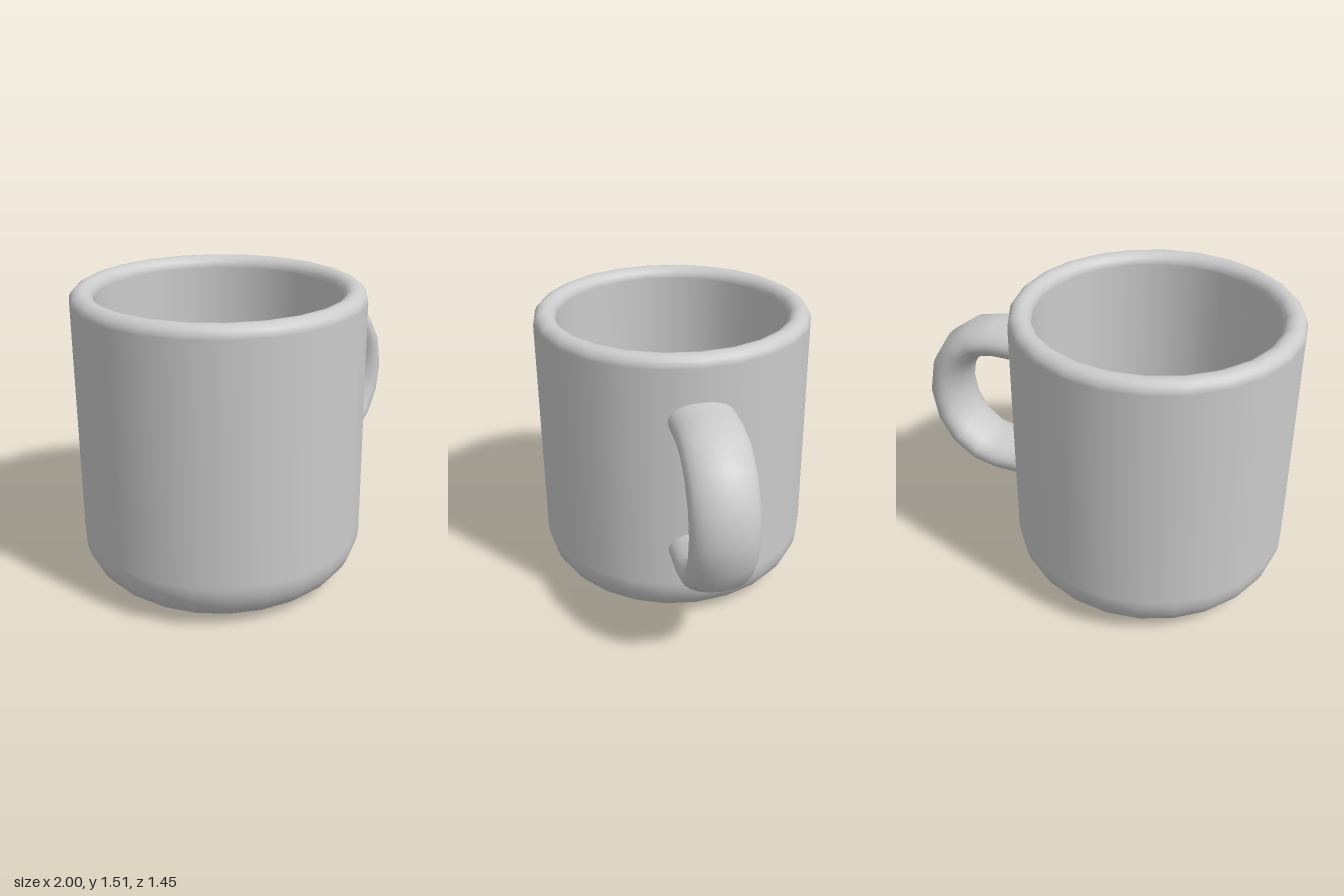
import * as THREE from 'three';

const material = new THREE.MeshStandardMaterial({ color: 0xcccccc });
const CUP_X = -0.277, CUP_R = 0.723, INNER_R = 0.607, TOP = 1.51, FLOOR = 0.12;

// Profile points along a circular fillet, from angle a0 to a1 (degrees)
function arc(cx, cy, r, a0, a1, steps) {
  return Array.from({ length: steps + 1 }, (_, i) => {
    const a = THREE.MathUtils.degToRad(a0 + (a1 - a0) * i / steps);
    return new THREE.Vector2(cx + r * Math.cos(a), cy + r * Math.sin(a));
  });
}

// Cup: outer wall, rounded rim, inner wall and floor in one turned profile
function createCup() {
  const base = 0.25, inner = 0.13, rim = (CUP_R - INNER_R) / 2;
  const profile = [
    new THREE.Vector2(0, 0),
    ...arc(CUP_R - base, base, base, -90, 0, 8),
    ...arc(CUP_R - rim, TOP - rim, rim, 0, 180, 10),
    ...arc(INNER_R - inner, FLOOR + inner, inner, 0, -90, 6),
    new THREE.Vector2(0, FLOOR),
  ];
  const cup = new THREE.Mesh(new THREE.LatheGeometry(profile, 24), material);
  cup.name = 'cup';
  cup.position.x = CUP_X;
  return cup;
}

// Handle: a wide elliptical section swept round a half loop, ends sunk in the wall
function createHandle() {
  const SIDES = 24, ARC = 8, HALF_WIDTH = 0.168;
  const centre = new THREE.Vector2(0.585, 0.825);
  const angles = Array.from({ length: ARC + 1 }, (_, i) => Math.PI / 2 - Math.PI * i / ARC);
  const sections = angles.map((a) => ({ a, x: centre.x }));
  sections.unshift({ a: Math.PI / 2, x: 0.38 });
  sections.push({ a: -Math.PI / 2, x: 0.38 });

  const positions = [], indices = [];
  sections.forEach(({ a, x }, s) => {
    for (let i = 0; i < SIDES; i++) {
      const t = 2 * Math.PI * i / SIDES;
      positions.push(
        x + Math.cos(a) * (0.315 + 0.1 * Math.cos(t)),
        centre.y + Math.sin(a) * (0.36 + 0.095 * Math.cos(t)),
        HALF_WIDTH * Math.sin(t));
      if (s === sections.length - 1) continue;
      const p = s * SIDES + i, q = s * SIDES + (i + 1) % SIDES;
      indices.push(p, q, p + SIDES, q, q + SIDES, p + SIDES);
    }
  });
  const geometry = new THREE.BufferGeometry();
  geometry.setAttribute('position', new THREE.Float32BufferAttribute(positions, 3));
  geometry.setIndex(indices);
  geometry.computeVertexNormals();
  const handle = new THREE.Mesh(geometry, material);
  handle.name = 'handle';
  return handle;
}

export function createModel() {
  const mug = new THREE.Group();
  mug.name = 'mug';
  mug.add(createCup(), createHandle());
  return mug;
}
